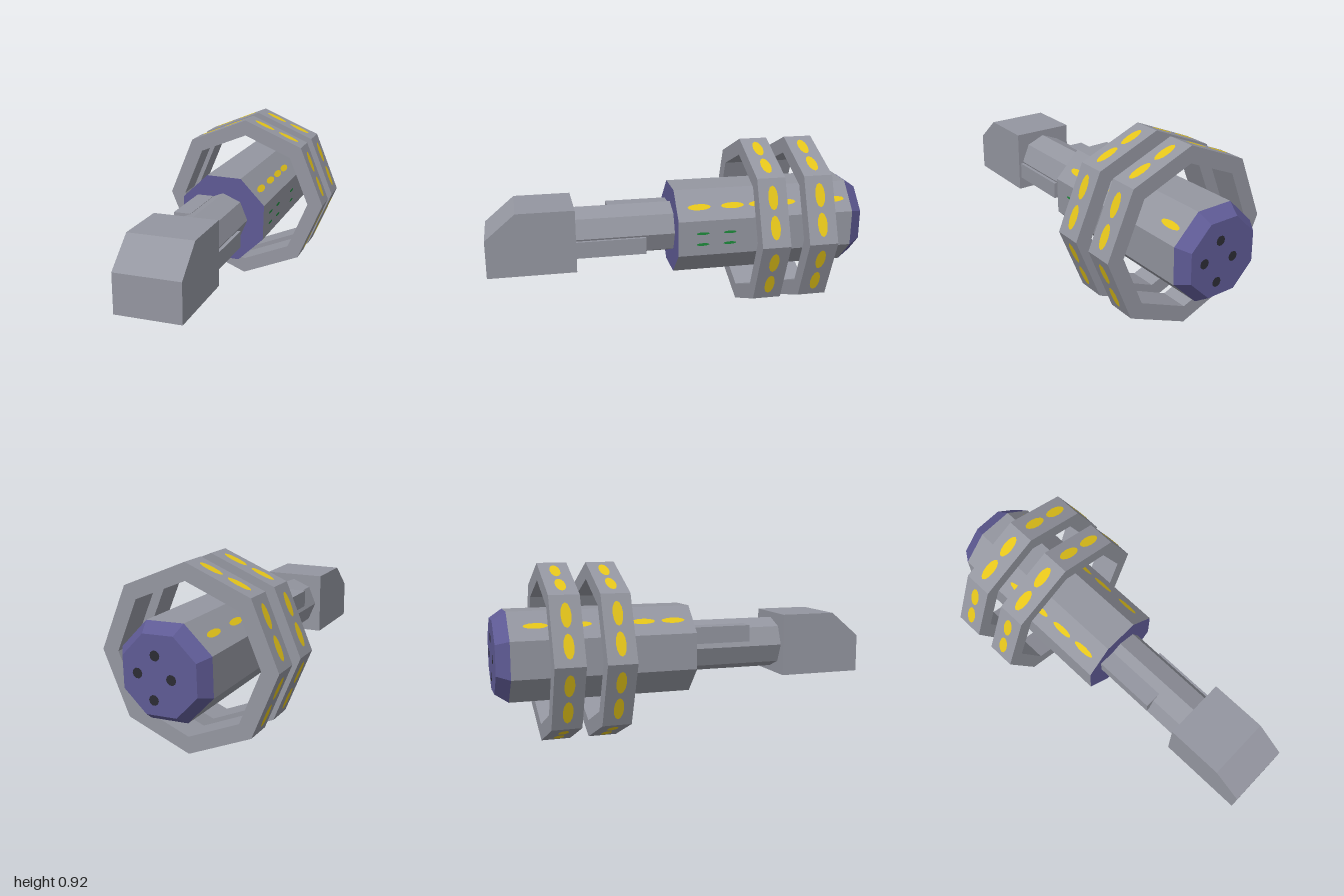
import * as THREE from 'three';

const paint = (name, color) => {
  const m = new THREE.MeshStandardMaterial({ color });
  m.name = name;
  return m;
};

export function createModel() {
  const grey = paint('hullGrey', 0x9496a0);
  const purple = paint('purple', 0x5e5a94);
  const yellow = paint('windowYellow', 0xe6c61a);
  const green = paint('lightGreen', 0x1e8c3c);
  const dark = paint('nozzleDark', 0x2c2c34);

  const model = new THREE.Group();
  model.name = 'spaceStation';
  // everything is built around the long z axis, then raised
  const axis = new THREE.Group();
  axis.name = 'stationAxis';
  axis.position.y = 0.462;
  model.add(axis);

  const add = (name, geometry, material, parent = axis) => {
    const mesh = new THREE.Mesh(geometry, material);
    mesh.name = name;
    parent.add(mesh);
    return mesh;
  };

  // octagonal prism along z, from zBack to zFront
  const prism = (rFront, rBack, zFront, zBack, turn = 0) => {
    const g = new THREE.CylinderGeometry(rFront, rBack, zFront - zBack, 8).toNonIndexed();
    g.computeVertexNormals();
    return g.rotateX(Math.PI / 2).rotateZ(turn).translate(0, 0, (zFront + zBack) / 2);
  };

  // flat oval on a side facet: distance from axis, offset along the facet, z, facet angle
  const oval = (name, material, dist, along, z, angle, width, length) =>
    add(name, new THREE.CircleGeometry(1, 12)
      .scale(length / 2, width / 2, 1)
      .rotateY(Math.PI / 2)
      .translate(dist + 0.003, along, z)
      .rotateZ(angle), material);

  // main hull with a purple front face and a tapered purple rear cap
  const tilt = -0.021;
  const bodyTurn = Math.PI / 8 + tilt;
  const R = 0.247;
  const bodyDist = R * Math.cos(Math.PI / 8);
  add('hull', prism(R, R, 0.02, -0.933, bodyTurn), [grey, purple, purple]);
  add('rearCap', prism(R, R * 0.81, -0.933, -1, bodyTurn), purple);

  // neck with a long box along each side
  add('neck', prism(0.138, 0.138, 0.56, 0), grey);
  const box = (name, x0, x1, y0, y1, z0, z1) =>
    add(name, new THREE.BoxGeometry(x1 - x0, y1 - y0, z1 - z0)
      .translate((x0 + x1) / 2, (y0 + y1) / 2, (z0 + z1) / 2), grey);
  box('leftNeckBox', 0.062, 0.152, -0.097, -0.009, 0.175, 0.56);
  box('rightNeckBox', -0.145, -0.055, 0.028, 0.117, 0, 0.352);

  // front module: side outline with sloping nose, extruded across x
  const outline = new THREE.Shape([
    [0.543, -0.166], [1, -0.166], [1, 0.035], [0.842, 0.168], [0.543, 0.168],
  ].map(([z, y]) => new THREE.Vector2(-z, y)));
  add('frontModule', new THREE.ExtrudeGeometry(outline, { depth: 0.333, bevelEnabled: false })
    .rotateY(Math.PI / 2).translate(-0.168, 0, 0), grey);

  // two octagonal rings with a pair of windows on every outer facet
  const corners = (r) => Array.from({ length: 8 }, (_, i) =>
    new THREE.Vector2(r * Math.cos(i * Math.PI / 4), r * Math.sin(i * Math.PI / 4)));
  const ringShape = new THREE.Shape(corners(0.462));
  ringShape.holes.push(new THREE.Path(corners(0.375)));
  const ringDist = 0.462 * Math.cos(Math.PI / 8);
  for (const [name, z0, z1] of [['frontRing', -0.51, -0.361], ['rearRing', -0.761, -0.61]]) {
    add(name, new THREE.ExtrudeGeometry(ringShape, { depth: z1 - z0, bevelEnabled: false })
      .translate(0, 0, z0), grey);
    for (let i = 0; i < 8; i++) {
      for (const s of [-0.076, 0.076]) {
        oval('ringWindow', yellow, ringDist, s, (z0 + z1) / 2, (i + 0.5) * Math.PI / 4, 0.125, 0.052);
      }
    }
  }

  // window rows on the upper slanted hull facets
  for (const z of [-0.1, -0.28, -0.43, -0.565, -0.84]) {
    oval('leftHullWindow', yellow, bodyDist, -0.015, z, Math.PI / 4 + tilt, 0.036, 0.125);
  }
  for (const z of [-0.09, -0.25, -0.42, -0.58, -0.8]) {
    oval('rightHullWindow', yellow, bodyDist, 0.005, z, 3 * Math.PI / 4 + tilt, 0.036, 0.125);
  }

  // small green lights on the left hull side
  for (const z of [-0.11, -0.255, -0.55]) {
    for (const y of [0.026, -0.034]) {
      oval('sideLight', green, bodyDist, y, z, tilt, 0.015, 0.07);
    }
  }

  // dark nozzles on the rear face
  for (const [x, y] of [[0.02, 0.09], [0.11, 0], [-0.06, -0.01], [0.03, -0.115]]) {
    add('rearNozzle', new THREE.CircleGeometry(0.025, 10)
      .rotateY(Math.PI).translate(x, y, -1.002), dark);
  }

  return model;
}
